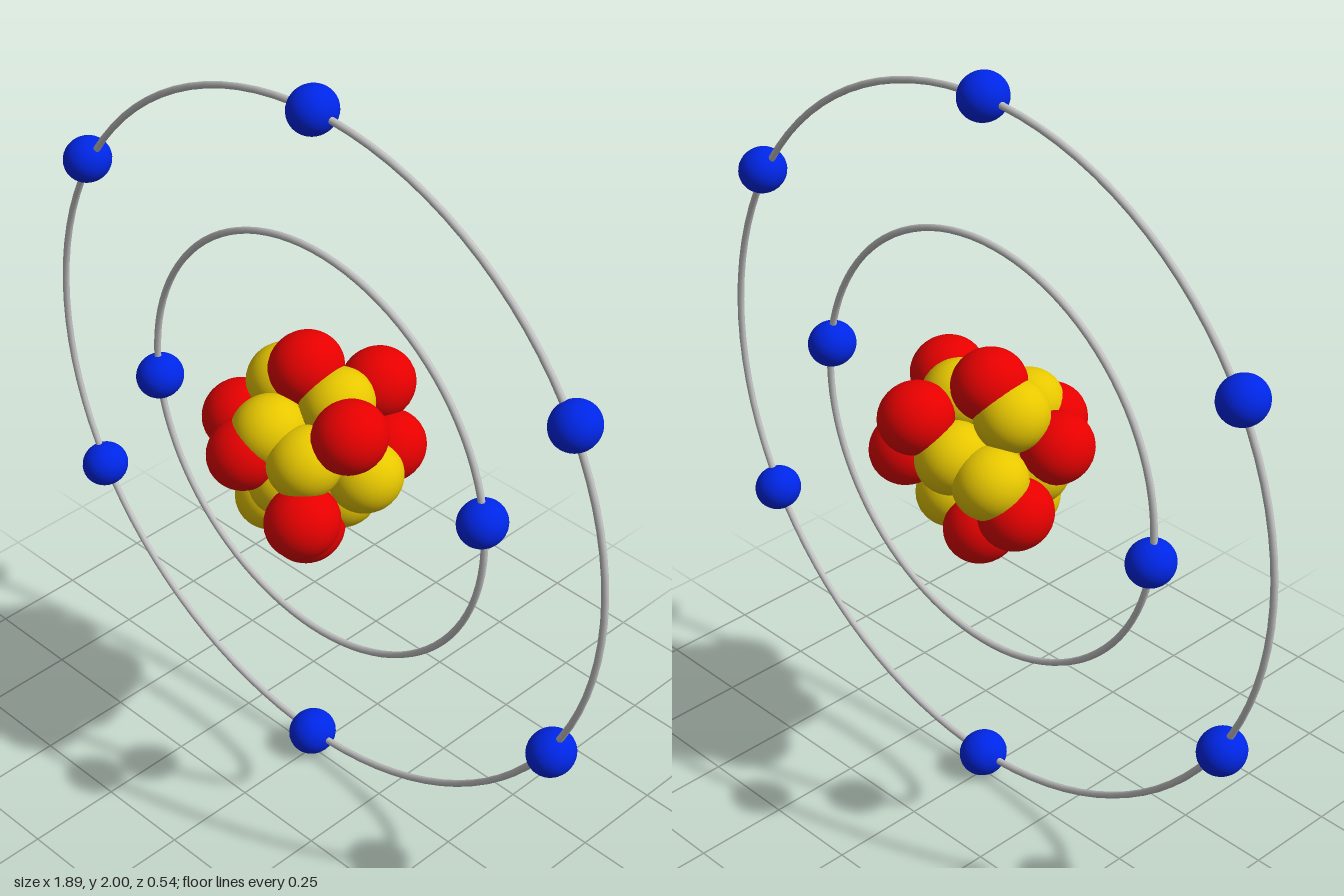
import * as THREE from 'three';

const material = (name, color) => {
  const m = new THREE.MeshStandardMaterial({ color });
  m.name = name;
  return m;
};

export function createModel() {
  const model = new THREE.Group();
  model.name = 'atom';
  const red = material('red', 0xec0000);
  const yellow = material('yellow', 0xe8c800);
  const blue = material('blue', 0x0028f0);
  const grey = material('grey', 0xc4c4c4);

  // All parts are placed around the atom's centre, one unit above the ground
  const centre = new THREE.Group();
  centre.name = 'centre';
  centre.position.y = 1;
  model.add(centre);

  const addBalls = (parent, name, geometry, mat, points) => {
    points.forEach(([x, y, z = 0], i) => {
      const ball = new THREE.Mesh(geometry, mat);
      ball.name = `${name}${i + 1}`;
      ball.position.set(x, y, z);
      parent.add(ball);
    });
  };

  // Balls are slightly deeper than they are wide
  const ballGeometry = (radius) => new THREE.SphereGeometry(radius, 32, 20).scale(1, 1, 1.08);

  // Nucleus: a packed cluster of protons and neutrons
  const nucleus = new THREE.Group();
  nucleus.name = 'nucleus';
  centre.add(nucleus);
  const nucleon = ballGeometry(0.091);
  addBalls(nucleus, 'proton', nucleon, red, [
    [-0.042, 0.21, -0.02], [0.168, 0.138, 0.04], [-0.177, 0.05, 0.078],
    [-0.057, 0.043, 0.175], [-0.187, -0.07, -0.07], [0.13, -0.072, 0.162],
    [0.053, -0.178, 0.07], [-0.055, -0.173, -0.06], [0.055, 0.138, -0.172],
    [0.13, 0.005, -0.135],
  ]);
  addBalls(nucleus, 'neutron', nucleon, yellow, [
    [-0.11, 0.148, -0.01], [0.055, 0.145, -0.03], [0.085, 0.055, 0.11],
    [-0.03, 0.095, 0.12], [0.163, -0.012, -0.022], [0.01, -0.04, 0.1],
    [-0.065, -0.135, 0.075], [-0.125, -0.02, 0.05], [-0.14, 0.012, -0.11],
    [-0.03, 0.045, -0.13], [0.06, -0.125, -0.045],
  ]);

  // Orbit rings
  for (const [name, radius] of [['innerOrbit', 0.573], ['outerOrbit', 0.938]]) {
    const ring = new THREE.Mesh(new THREE.TorusGeometry(radius, 0.009, 8, 96), grey);
    ring.name = name;
    centre.add(ring);
  }

  // Electrons: two on the inner orbit, six on the outer
  const electron = ballGeometry(0.06);
  addBalls(centre, 'innerElectron', electron, blue, [[0.563, 0.075], [-0.567, -0.062]]);
  addBalls(centre, 'outerElectron', electron, blue, [
    [0, 0.94], [0, -0.94],
    [0.815, 0.482], [0.815, -0.478], [-0.815, 0.482], [-0.815, -0.478],
  ]);

  return model;
}
